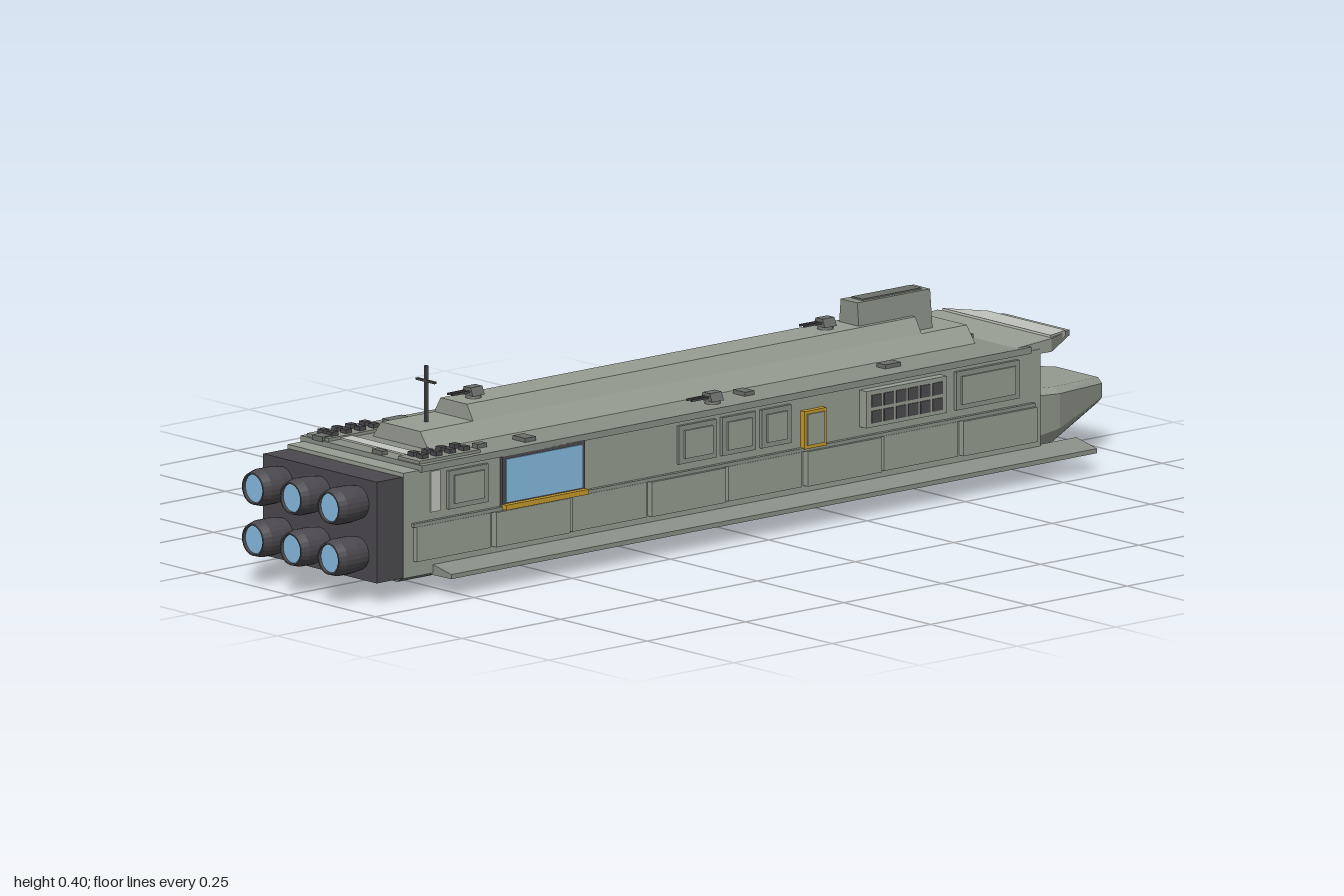
import * as THREE from 'three';

const mat = (color) => new THREE.MeshStandardMaterial({ color, flatShading: true, side: THREE.DoubleSide });

export function createModel() {
  const root = new THREE.Group();
  const ship = new THREE.Group();
  ship.name = 'ship';
  ship.position.x = 0.005;
  root.add(ship);

  const hull = mat(0x979d92), plate = mat(0x8a9086), dark = mat(0x4b494d), mid = mat(0x6a6e69);
  const light = mat(0xc4c7c0), blue = mat(0x86bbe0), gold = mat(0xc79a2b);

  const add = (name, geo, m, parent = ship) => {
    const mesh = new THREE.Mesh(geo, m);
    mesh.name = name;
    parent.add(mesh);
    return mesh;
  };
  // box given by its extents
  const box = (name, x0, x1, y0, y1, z0, z1, m, parent = ship) => {
    const mesh = add(name, new THREE.BoxGeometry(Math.abs(x1 - x0), y1 - y0, Math.abs(z1 - z0)), m, parent);
    mesh.position.set((x0 + x1) / 2, (y0 + y1) / 2, (z0 + z1) / 2);
    return mesh;
  };
  // cross-section in x,y pulled along z
  const prism = (name, pts, z0, z1, m, parent = ship) => {
    const shape = new THREE.Shape(pts.map((p) => new THREE.Vector2(p[0], p[1])));
    const mesh = add(name, new THREE.ExtrudeGeometry(shape, { depth: z1 - z0, bevelEnabled: false }), m, parent);
    mesh.position.z = z0;
    return mesh;
  };
  // symmetric trapezoid section
  const trap = (a, y0, b, y1) => [[-a, y0], [a, y0], [b, y1], [-b, y1]];
  // closed solid joining equal-sized loops of corners
  const loft = (name, loops, m) => {
    const n = loops[0].length, idx = [];
    for (let s = 0; s + 1 < loops.length; s++)
      for (let i = 0; i < n; i++) {
        const a = s * n + i, b = s * n + (i + 1) % n;
        idx.push(a, a + n, b, b, a + n, b + n);
      }
    const e = (loops.length - 1) * n;
    for (let i = 1; i + 1 < n; i++) idx.push(0, i, i + 1, e, e + i + 1, e + i);
    const g = new THREE.BufferGeometry();
    g.setAttribute('position', new THREE.Float32BufferAttribute(loops.flat(2), 3));
    g.setIndex(idx);
    const flat = g.toNonIndexed();
    flat.computeVertexNormals();
    return add(name, flat, m);
  };

  // main body, keel and roof
  box('hull', -0.167, 0.167, 0.04, 0.246, -0.76, 0.86, hull);
  box('roofDeck', -0.175, 0.175, 0.243, 0.256, -0.73, 0.82, plate);
  prism('keel', trap(0.047, 0, 0.105, 0.04), -0.805, 0.77, mid);
  box('keelFloor', -0.13, 0.13, 0.036, 0.042, -0.82, 0.79, mid);
  box('sternDeckStrip', -0.1, 0.1, 0.256, 0.259, 0.755, 0.785, light);

  // stepped superstructure and tower
  prism('lowerTier', trap(0.085, 0.25, 0.056, 0.288), -0.67, 0.72, hull);
  prism('upperTier', trap(0.056, 0.288, 0.038, 0.318), -0.555, 0.585, hull);
  prism('tower', trap(0.031, 0.288, 0.024, 0.363), -0.605, -0.42, plate);
  box('towerWindow', -0.02, 0.02, 0.335, 0.35, -0.607, -0.604, blue);
  box('towerRoof', -0.016, 0.016, 0.362, 0.366, -0.59, -0.44, mid);

  // tapering bow below the visor
  const section = (z, w, y0, ym, y1, c) => [
    [-w + c, y0, z], [-w, ym, z], [-w, y1 - 0.01, z], [-w + c, y1, z],
    [w - c, y1, z], [w, y1 - 0.01, z], [w, ym, z], [w - c, y0, z]];
  loft('bow', [section(-0.75, 0.165, 0.045, 0.075, 0.165, 0.02), section(-0.82, 0.155, 0.052, 0.08, 0.158, 0.02),
    section(-1, 0.072, 0.088, 0.1, 0.137, 0.012)], hull);
  box('bowHatch', -0.035, 0.035, 0.095, 0.13, -0.999, -0.99, dark);
  box('bridgeWindow', -0.14, 0.14, 0.18, 0.225, -0.765, -0.755, blue);
  for (const s of [-1, 1]) box('bridgePost', s * 0.05 - 0.006, s * 0.05 + 0.006, 0.165, 0.245, -0.77, -0.755, hull);

  // visor plate over the bridge
  const slab = (z, w, y0, y1) => [[-w, y0, z], [-w, y1, z], [w, y1, z], [w, y0, z]];
  loft('visor', [slab(-0.70, 0.165, 0.238, 0.256), slab(-0.79, 0.165, 0.236, 0.262), slab(-0.9, 0.092, 0.24, 0.25)], hull);
  loft('visorBand', [slab(-0.795, 0.156, 0.25, 0.266), slab(-0.872, 0.112, 0.245, 0.257)], light);

  // side fins and hull plating
  for (const s of [-1, 1]) {
    prism('sideFin', [[s * 0.16, 0.036], [s * 0.22, 0.037], [s * 0.22, 0.046], [s * 0.16, 0.058]], -0.857, 0.785, plate);
    for (let i = 0; i < 8; i++) {
      const z = -0.74 + i * 0.198;
      box('lowerPanel', s * 0.165, s * (i % 2 ? 0.176 : 0.181), 0.07, 0.138, z, z + 0.188, hull);
    }
    box('sideRail', s * 0.165, s * 0.175, 0.138, 0.145, -0.74, 0.84, plate);
    const spans = s > 0 ? [[0.07, 0.165], [-0.03, 0.055], [-0.12, -0.045], [-0.7, -0.54], [0.65, 0.75]]
      : [[-0.7, -0.55], [0.2, 0.29], [0.31, 0.40], [0.44, 0.6], [0.64, 0.82]];
    for (const [a, b] of spans) {
      box('upperPanel', s * 0.165, s * 0.174, 0.16, 0.235, a, b, plate);
      box('upperPanelInset', s * 0.17, s * 0.178, 0.17, 0.225, a + 0.012, b - 0.012, hull);
    }
    // vent grid with dark cells
    const g0 = s > 0 ? -0.505 : -0.06;
    box('ventFrame', s * 0.165, s * 0.186, 0.163, 0.235, g0, g0 + 0.205, hull);
    for (let i = 0; i < 12; i++) {
      const z = g0 + 0.012 + (i % 6) * 0.031, y = 0.171 + Math.floor(i / 6) * 0.031;
      box('ventCell', s * 0.184, s * 0.188, y, y + 0.024, z, z + 0.025, dark);
    }
    // side door with gilded frame
    box('doorFrame', s * 0.165, s * 0.178, 0.143, 0.217, -0.206, -0.15, gold);
    box('door', s * 0.17, s * 0.181, 0.15, 0.211, -0.2, -0.156, hull);
    box('lightSlit', s * 0.165, s * 0.17, 0.16, 0.24, 0.768, 0.792, light);
    // skids along the keel
    for (const z of [0.62, 0.37, 0.12])
      box('keelSkid', s * 0.08, s * 0.105, 0.022, 0.04, z - 0.05, z + 0.09, plate);
  }

  // hangar bay on the left side
  box('hangarFrame', 0.165, 0.175, 0.145, 0.245, 0.405, 0.615, dark);
  box('hangarOpening', 0.17, 0.177, 0.153, 0.237, 0.413, 0.607, blue);
  box('hangarSill', 0.17, 0.186, 0.14, 0.15, 0.405, 0.615, gold);

  // docking ports on the right side
  for (const z of [-0.47, -0.355]) {
    box('dockingArm', -0.19, -0.16, 0.15, 0.2, z - 0.02, z + 0.02, plate);
    box('dockingPort', -0.231, -0.185, 0.158, 0.194, z - 0.016, z + 0.016, hull);
  }

  // engine block and nozzles
  box('engineBlock', -0.164, 0.164, 0.04, 0.238, 0.85, 0.925, dark);
  const bell = [[0.03, 0.91], [0.034, 0.935], [0.036, 0.95], [0.036, 0.982], [0.031, 1], [0.028, 1], [0.027, 0.985]];
  const nozzleGeo = new THREE.LatheGeometry(bell.map((p) => new THREE.Vector2(p[0], p[1])), 24).rotateX(Math.PI / 2);
  for (const x of [-0.109, 0, 0.109])
    for (const y of [0.09, 0.19]) {
      add('engineNozzle', nozzleGeo, dark).position.set(x, y, 0);
      add('engineGlow', new THREE.CircleGeometry(0.028, 24), blue).position.set(x, y, 0.994);
    }

  // twin-barrel turrets
  for (const [x, y, z] of [[-0.134, 0.256, 0.045], [0.134, 0.256, 0.045], [0, 0.318, 0.535], [0, 0.318, -0.36]]) {
    const t = new THREE.Group();
    t.name = 'turret';
    t.position.set(x, y, z);
    ship.add(t);
    add('turretBase', new THREE.CylinderGeometry(0.014, 0.016, 0.008, 12), mid, t).position.y = 0.004;
    prism('turretHead', trap(0.017, 0.006, 0.01, 0.022), -0.014, 0.016, mid, t);
    for (const b of [-0.006, 0.006]) box('barrel', b - 0.002, b + 0.002, 0.012, 0.016, 0.01, 0.06, dark, t);
  }

  // stern launch pads
  for (const s of [-1, 1]) {
    box('launchPad', s * 0.1, s * 0.162, 0.254, 0.262, 0.66, 0.815, plate);
    for (let i = 0; i < 8; i++) {
      const x = s * (0.117 + (i % 2) * 0.026), z = 0.685 + Math.floor(i / 2) * 0.035;
      box('launchTube', x - 0.008, x + 0.008, 0.26, 0.27, z - 0.008, z + 0.008, dark);
    }
  }

  // roof hatches: x, z, width, length
  for (const [x, z, w, l] of [[-0.134, -0.435, 0.03, 0.05], [0.12, -0.415, 0.026, 0.04], [0.116, -0.05, 0.034, 0.024],
    [0.136, 0.525, 0.036, 0.028], [-0.13, 0.605, 0.052, 0.05], [0.125, 0.63, 0.016, 0.024], [0.025, -0.69, 0.036, 0.018],
    [0.042, 0.81, 0.03, 0.014], [-0.125, 0.81, 0.03, 0.024]])
    box('roofHatch', x - w / 2, x + w / 2, 0.254, 0.264, z - l / 2, z + l / 2, mid);

  // antenna mast
  box('mast', -0.003, 0.003, 0.286, 0.398, 0.652, 0.658, dark);
  box('mastCrossbar', -0.027, 0.027, 0.366, 0.37, 0.652, 0.658, dark);

  return root;
}
